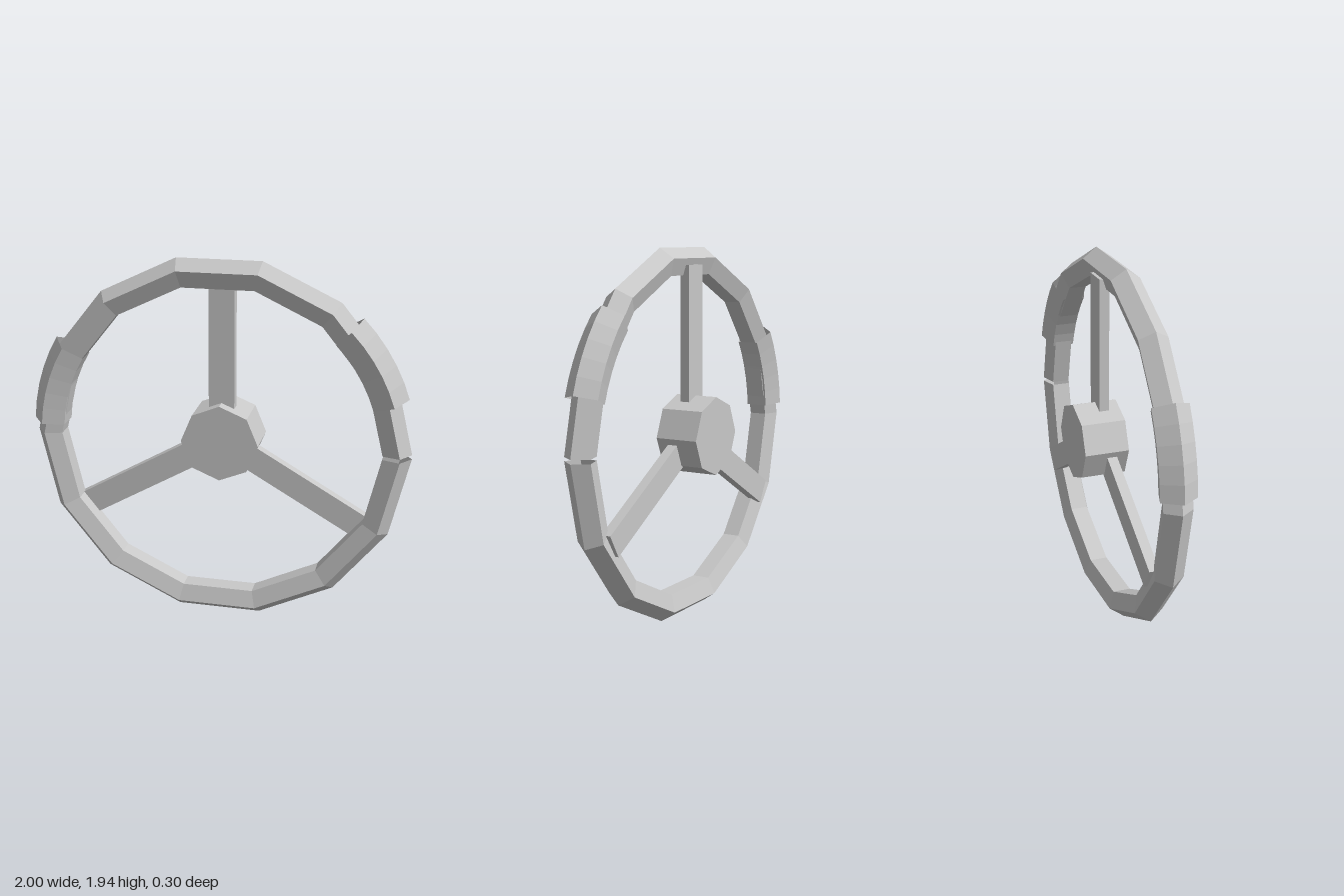
import * as THREE from 'three';

const CENTRE = [0.005, 0.968, 0.055];
const RING_RADIUS = 0.913;

export function createModel() {
  const model = new THREE.Group();
  model.name = 'steeringWheel';

  const grey = new THREE.MeshStandardMaterial({ color: 0xc8c8c8, flatShading: true, side: THREE.DoubleSide });
  grey.name = 'light grey';

  function add(name, geometry, z = 0) {
    const mesh = new THREE.Mesh(geometry, grey);
    mesh.name = name;
    mesh.position.set(CENTRE[0], CENTRE[1], z);
    model.add(mesh);
    return mesh;
  }

  // Five-sided tube bent along part of the wheel circle
  function ringSection(name, tube, segments, start, end) {
    const geometry = new THREE.TorusGeometry(RING_RADIUS, tube, 5, segments, end - start);
    geometry.rotateZ(start);
    return add(name, geometry, CENTRE[2]);
  }

  // Rim with a narrow seam on its left side
  const seam = 0.011;
  ringSection('rim', 0.08, 14, seam, Math.PI * 2 - seam);

  // Thicker open sleeves over the rim
  const rad = THREE.MathUtils.degToRad;
  ringSection('leftGrip', 0.1, 5, rad(17.5), rad(44.4));
  ringSection('rightGrip', 0.1, 5, rad(149.4), rad(176.4));

  // Octagonal hub with a corner pointing up
  const hub = new THREE.CylinderGeometry(0.205, 0.205, 0.235, 8);
  hub.rotateX(Math.PI / 2);
  add('hub', hub, -0.0325);

  // Three flat spokes running from the hub into the rim
  const inner = 0.1, outer = 0.88;
  ['topSpoke', 'rightSpoke', 'leftSpoke'].forEach((name, i) => {
    const spoke = new THREE.BoxGeometry(0.135, outer - inner, 0.053);
    spoke.translate(0, (inner + outer) / 2, 0);
    spoke.rotateZ(i * Math.PI * 2 / 3);
    add(name, spoke, -0.0015);
  });

  return model;
}
